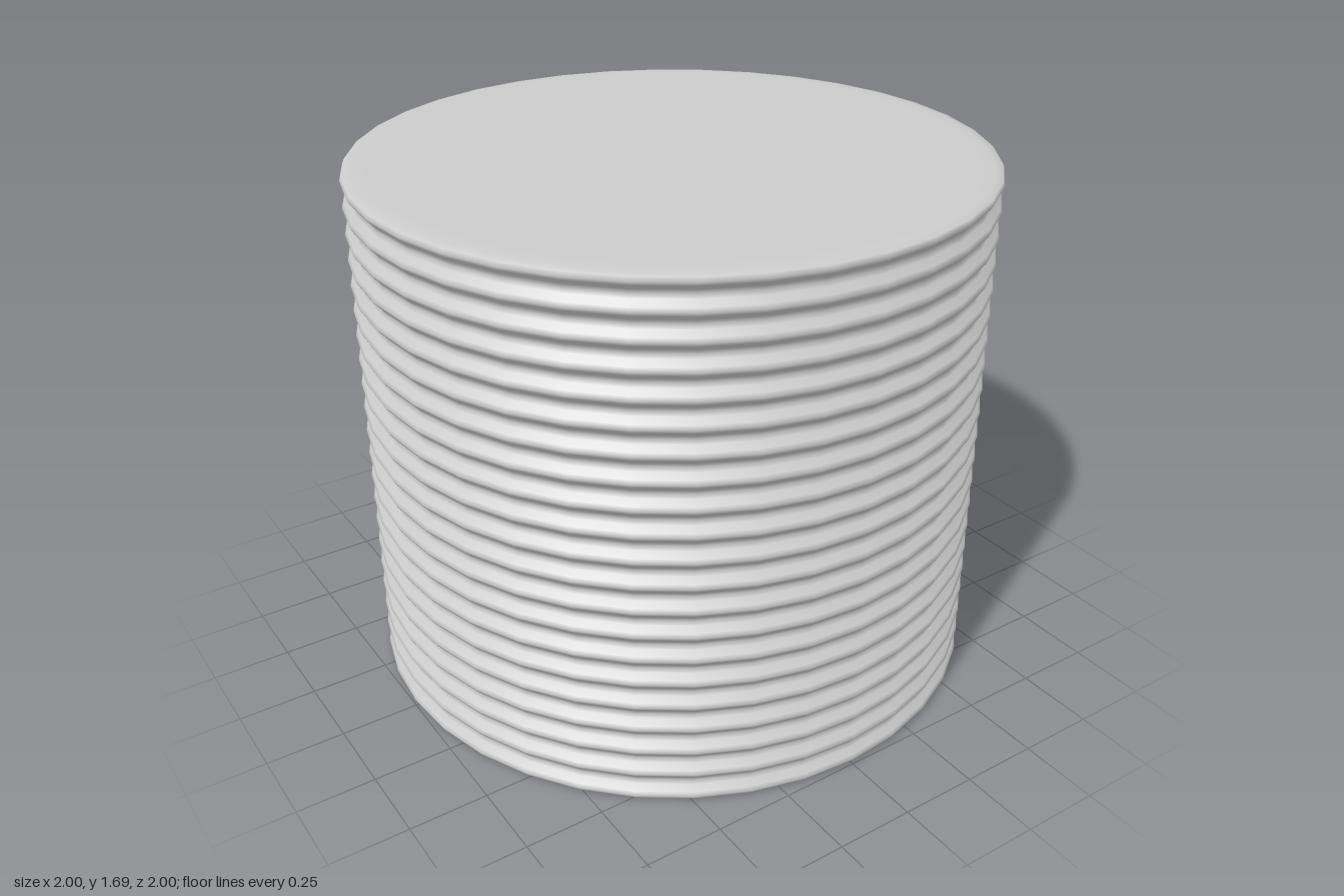
import * as THREE from 'three';

export function createModel() {
  const group = new THREE.Group();
  const material = new THREE.MeshStandardMaterial({ color: 0xcccccc });

  const ridges = 21, pitch = 0.0825, first = 0.02, height = 1.69;
  const profile = [];
  const add = (r, y) => profile.push(new THREE.Vector2(r, y));

  // flat base with a softened rim
  add(0, 0);
  add(0.92, 0);
  add(0.97, 0.004);

  // rounded ridges separated by shallow grooves
  for (let i = 0; i < ridges; i++) {
    const y = first + i * pitch;
    add(0.994, y - 0.012);
    add(1, y);
    add(0.994, y + 0.012);
    if (i < ridges - 1) {
      add(0.977, y + 0.028);
      add(0.972, y + pitch / 2);
      add(0.977, y + pitch - 0.028);
    }
  }

  // flat top with a softened rim
  add(0.97, height - 0.004);
  add(0.92, height);
  add(0, height);

  const body = new THREE.Mesh(new THREE.LatheGeometry(profile, 36), material);
  body.name = 'ribbedCylinder';
  group.add(body);
  return group;
}
